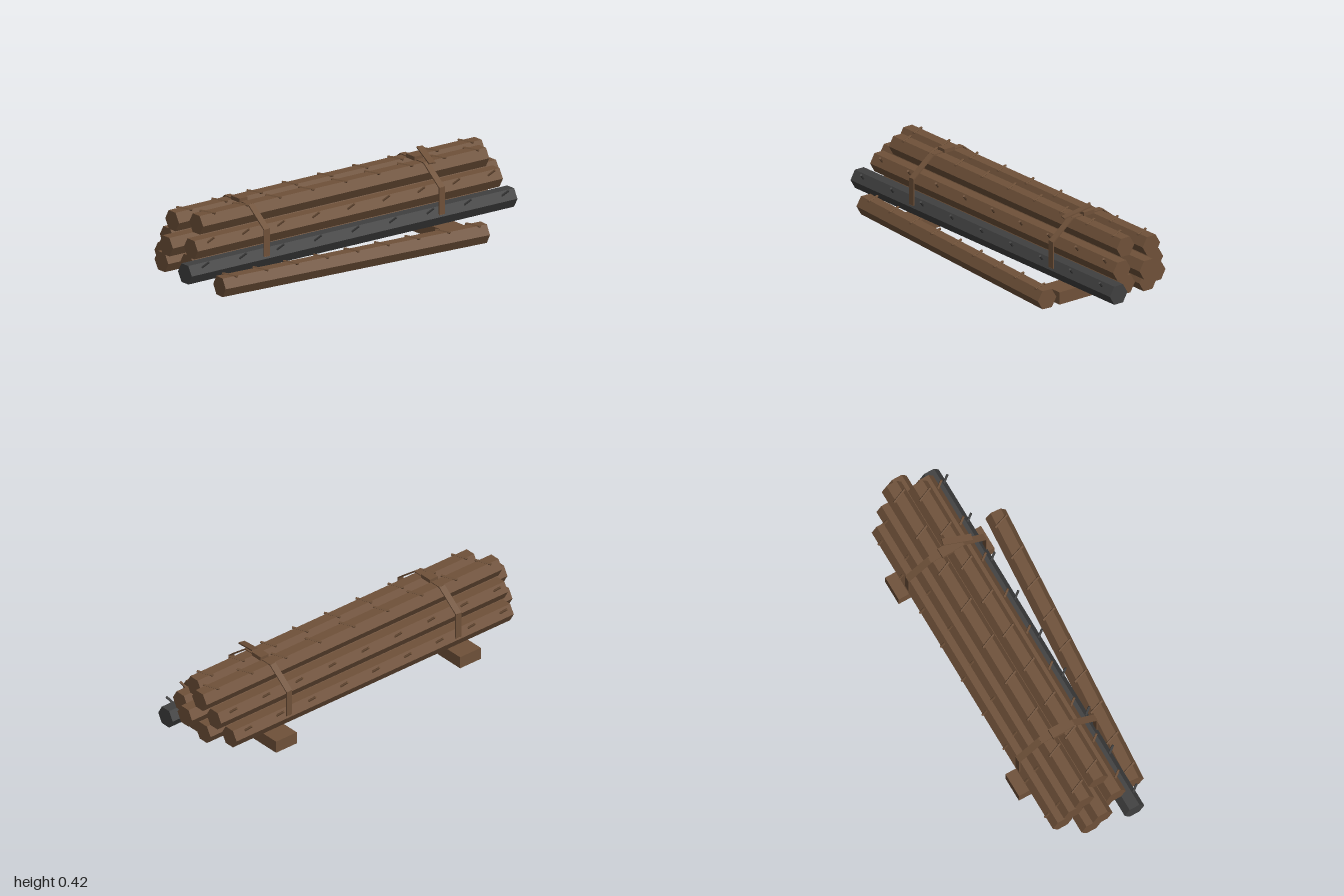
import * as THREE from 'three';

export function createModel() {
  const model = new THREE.Group();
  model.name = 'logPile';
  const wood = new THREE.MeshStandardMaterial({ color: 0x6f5139, flatShading: true });
  wood.name = 'brown wood';
  const charcoal = new THREE.MeshStandardMaterial({ color: 0x404040, flatShading: true });
  charcoal.name = 'charcoal';

  const add = (parent, geometry, material, name, x = 0, y = 0, z = 0) => {
    const mesh = new THREE.Mesh(geometry, material);
    mesh.name = name;
    mesh.position.set(x, y, z);
    parent.add(mesh);
    return mesh;
  };

  // Twig stubs: offset (y, z) from the log axis and the direction they lean
  const twigStyles = {
    front: { y: 0.03, z: 0.039, dir: [0.4, 0.65, 0.65] },
    back: { y: 0.03, z: -0.039, dir: [-0.4, 0.65, -0.65] },
    top: { y: 0.047, z: 0, dir: [0.4, 0, 0.92] },
  };
  const twigGeometry = new THREE.CylinderGeometry(0.006, 0.006, 0.085, 6);
  const up = new THREE.Vector3(0, 1, 0);

  // Hexagonal log from x0 to x1 with nine evenly spaced twigs
  function addLog(name, x0, x1, y, z, side, material = wood) {
    const length = x1 - x0;
    const log = new THREE.Group();
    log.name = name;
    log.position.set((x0 + x1) / 2, y, z);
    const trunk = new THREE.CylinderGeometry(0.054, 0.054, length, 6).rotateZ(Math.PI / 2);
    add(log, trunk, material, 'trunk');
    if (side) {
      const style = twigStyles[side];
      const dir = new THREE.Vector3(...style.dir).normalize();
      for (let i = 0; i < 9; i++) {
        const x = (i / 8 - 0.5) * 0.92 * length;
        const twig = add(log, twigGeometry, material, 'twig', x, style.y, style.z);
        twig.quaternion.setFromUnitVectors(up, dir);
      }
    }
    model.add(log);
    return log;
  }

  // Bottom row
  addLog('darkLog', -1, 0.98, 0.129, 0.095, 'front', charcoal);
  addLog('bottomLog', -0.9, 0.9, 0.129, -0.016);
  addLog('bottomLog', -0.97, 0.93, 0.129, -0.127);
  addLog('bottomBackLog', -0.885, 0.86, 0.129, -0.237, 'back');
  // Middle row
  addLog('middleFrontLog', -0.92, 0.935, 0.225, 0.039, 'front');
  addLog('middleLog', -0.985, 1, 0.225, -0.072);
  addLog('middleBackLog', -0.895, 0.91, 0.225, -0.182, 'back');
  // Top row
  addLog('topFrontLog', -0.845, 0.895, 0.322, -0.016, 'top');
  addLog('topBackLog', -0.905, 0.955, 0.322, -0.127, 'top');
  // Loose log lying askew in front
  const loose = addLog('looseLog', -0.854, 0.671, 0.057, 0.23, 'top');
  loose.rotation.y = -0.072;

  // Support beams
  for (const x of [-0.573, 0.585]) {
    add(model, new THREE.BoxGeometry(0.13, 0.063, 0.53), wood, 'supportBeam', x, 0.0315, -0.072);
  }

  // Straps wrapped around the pile, as [z, y] corners
  const loop = [
    [0.142, 0.14], [0.142, 0.275], [0.02, 0.37], [-0.164, 0.37],
    [-0.286, 0.275], [-0.286, 0.14], [-0.18, 0.063], [0.036, 0.063],
  ];
  for (const x of [-0.54, 0.525]) {
    const strap = new THREE.Group();
    strap.name = 'strap';
    strap.position.x = x;
    loop.forEach(([z0, y0], i) => {
      const [z1, y1] = loop[(i + 1) % loop.length];
      const length = Math.hypot(z1 - z0, y1 - y0) + 0.004;
      const band = add(strap, new THREE.BoxGeometry(0.034, 0.006, length), wood,
        'strapBand', 0, (y0 + y1) / 2, (z0 + z1) / 2);
      band.rotation.x = -Math.atan2(y1 - y0, z1 - z0);
    });
    add(strap, new THREE.BoxGeometry(0.05, 0.02, 0.066), wood, 'strapKnot', 0, 0.378, -0.072);
    model.add(strap);
  }

  // Loose strap end sticking up
  const tail = add(model, new THREE.BoxGeometry(0.034, 0.007, 0.153), wood, 'strapTail', 0.54, 0.399, -0.002);
  tail.lookAt(0.54 + 0.035, 0.399 + 0.041, -0.002 - 0.143);

  return model;
}
